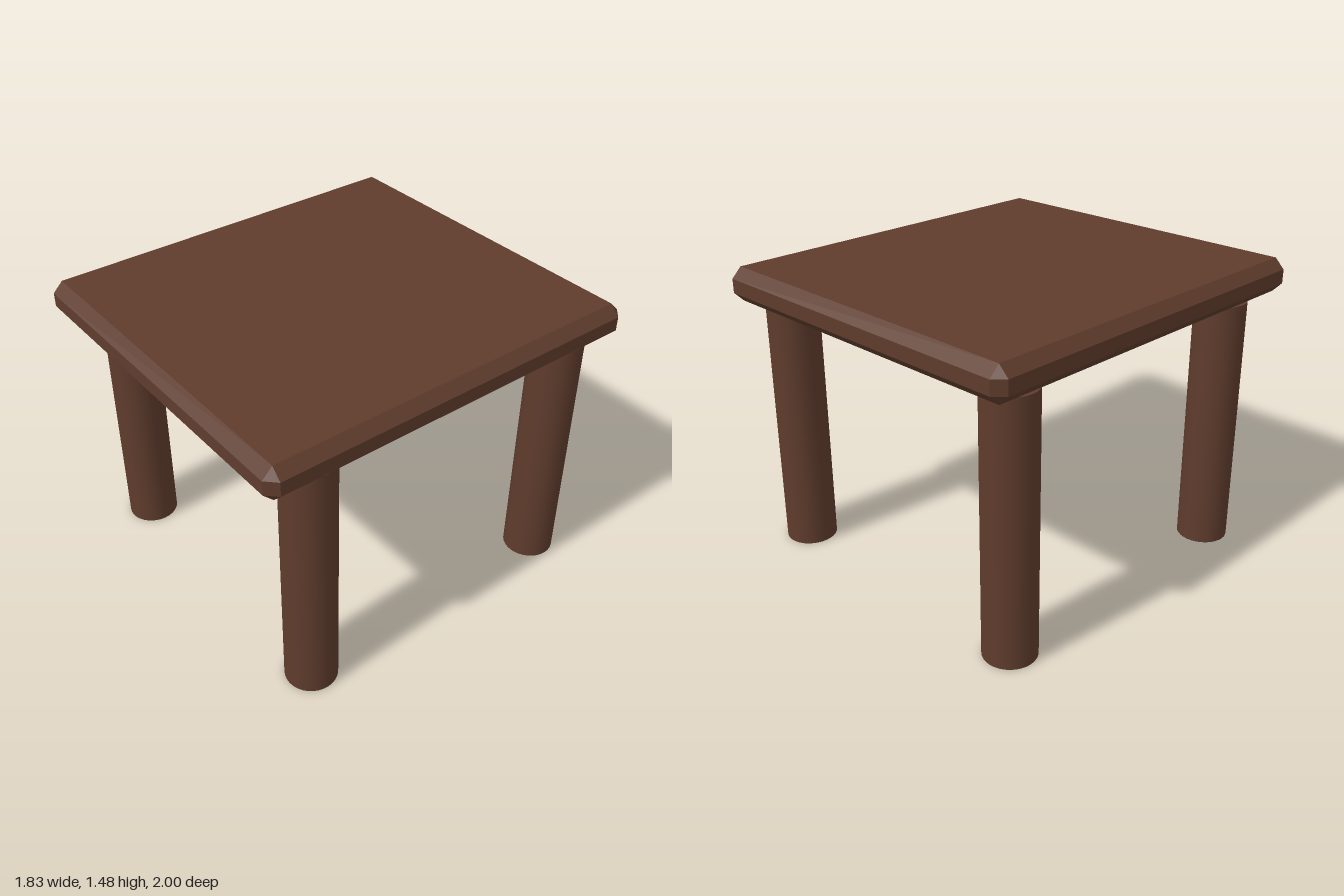
import * as THREE from 'three';
import { ConvexGeometry } from 'three/addons/geometries/ConvexGeometry.js';

// Box with every edge and corner cut by c
function chamferedBox(w, h, d, c) {
  const points = [];
  for (const sx of [-1, 1]) for (const sy of [-1, 1]) for (const sz of [-1, 1]) {
    const x = w / 2, y = h / 2, z = d / 2;
    points.push(
      new THREE.Vector3(sx * x, sy * (y - c), sz * (z - c)),
      new THREE.Vector3(sx * (x - c), sy * y, sz * (z - c)),
      new THREE.Vector3(sx * (x - c), sy * (y - c), sz * z),
    );
  }
  return new ConvexGeometry(points);
}

export function createModel() {
  const model = new THREE.Group();
  model.name = 'table';
  const wood = new THREE.MeshStandardMaterial({ color: 0x5f3c2d });
  wood.name = 'dark brown wood';

  // Tabletop with bevelled rim, floating just above the legs
  const top = new THREE.Mesh(chamferedBox(1.83, 0.17, 2, 0.05), wood);
  top.name = 'tabletop';
  top.position.y = 1.39;
  model.add(top);

  // Four round legs, set slightly off centre
  const legHeight = 1.295;
  const legGeometry = new THREE.CylinderGeometry(0.128, 0.128, legHeight, 32);
  for (const [xName, x] of [['Left', 0.733], ['Right', -0.741]]) {
    for (const [zName, z] of [['front', 0.691], ['back', -0.767]]) {
      const leg = new THREE.Mesh(legGeometry, wood);
      leg.name = `${zName}${xName}Leg`;
      leg.position.set(x, legHeight / 2, z);
      model.add(leg);
    }
  }
  return model;
}
